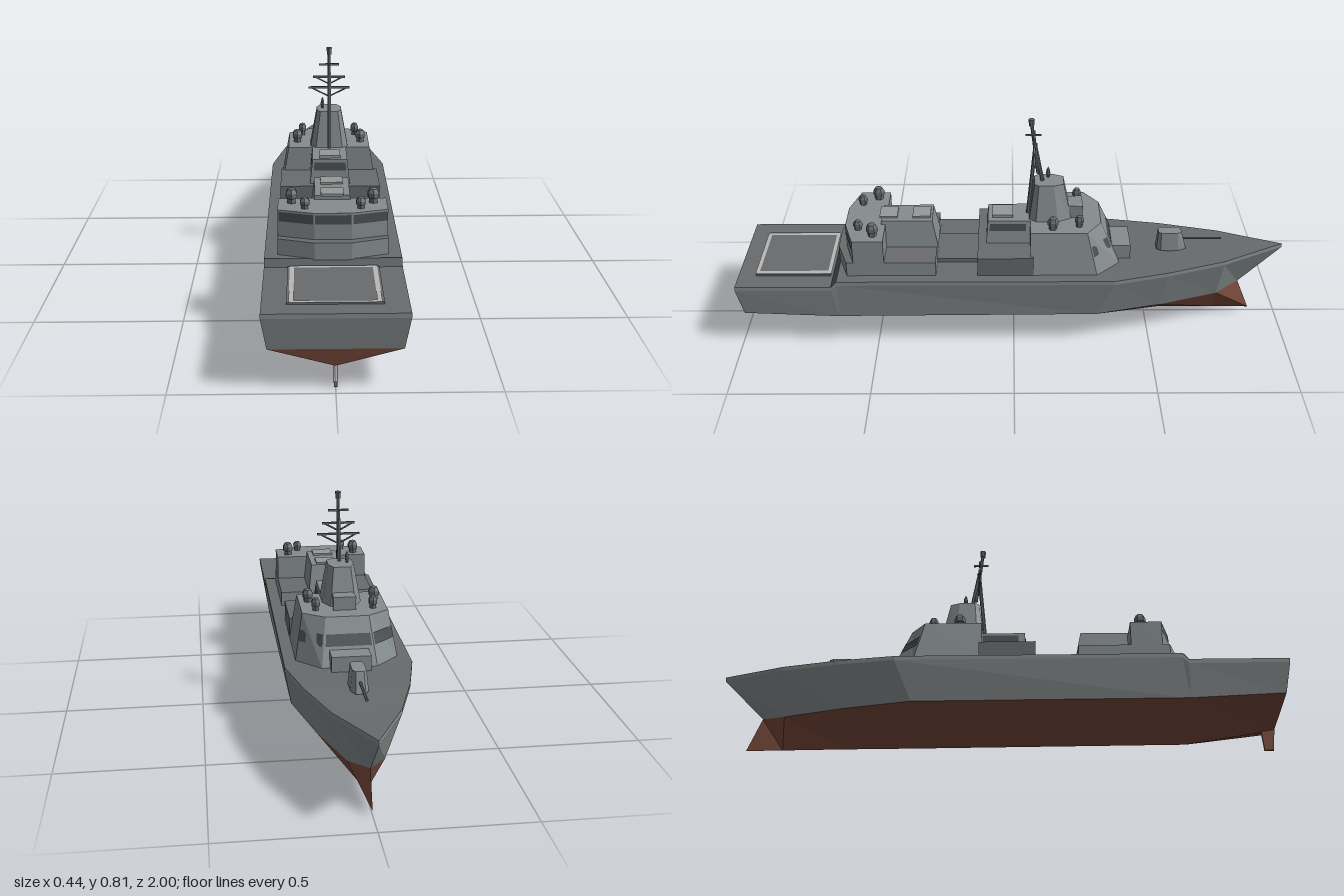
import * as THREE from 'three';

const mat = (color) => new THREE.MeshStandardMaterial({ color, flatShading: true, side: THREE.DoubleSide });
const GREY = mat(0x868d8d), DECK = mat(0x696b6d), RED = mat(0x7a4a3a), DARK = mat(0x4a4f52);
const FIT = mat(0x666b6d), LIGHT = mat(0x969a9a), MARK = mat(0xb8b8b8);

export function createModel() {
  const ship = new THREE.Group();
  ship.name = 'warship';

  const add = (name, geo, material, x = 0, y = 0, z = 0) => {
    const m = new THREE.Mesh(geo, material);
    m.name = name;
    m.position.set(x, y, z);
    ship.add(m);
    return m;
  };
  const box = (name, w, h, d, x, y, z, material) =>
    add(name, new THREE.BoxGeometry(w, h, d), material, x, y + h / 2, z);

  // Surface through rows of points
  const skin = (name, rows, material) => {
    const out = [];
    for (let k = 0; k + 1 < rows.length; k++)
      for (let i = 0; i + 1 < rows[k].length; i++) {
        const a = rows[k][i], b = rows[k][i + 1], c = rows[k + 1][i + 1], d = rows[k + 1][i];
        out.push(...a, ...b, ...c, ...a, ...c, ...d);
      }
    const g = new THREE.BufferGeometry();
    g.setAttribute('position', new THREE.Float32BufferAttribute(out, 3));
    g.computeVertexNormals();
    return add(name, g, material);
  };

  // Mirrored outline from the +x half, listed from aft to fore
  const outline = (half, y) => [
    ...half.map(([x, z]) => [x, y, z]),
    ...half.slice().reverse().map(([x, z]) => [-x, y, z]),
  ];

  // House with sloping walls; returns a function that lays a window on wall i
  const house = (name, lower, upper, y0, y1, roof = GREY) => {
    const b = outline(lower, y0), t = outline(upper, y1), n = b.length;
    skin(name, [[...t, t[0]], [...b, b[0]]], GREY);
    skin(name + 'Roof', [t.slice(n / 2).reverse(), t.slice(0, n / 2)], roof);
    return (i, u0, u1, v0, v1) => {
      const j = (i + 1) % n;
      const [p, q, r, s] = [b[i], b[j], t[j], t[i]].map((c) => new THREE.Vector3(...c));
      const normal = q.clone().sub(p).cross(s.clone().sub(p)).normalize().multiplyScalar(0.002);
      const at = (u, v) => p.clone().lerp(q, u).lerp(s.clone().lerp(r, u), v).add(normal).toArray();
      skin(name + 'Window', [[at(u0, v1), at(u0, v0)], [at(u1, v1), at(u1, v0)]], DARK);
    };
  };

  const rod = (name, a, b, r, material = FIT) => {
    const p = new THREE.Vector3(...a), q = new THREE.Vector3(...b);
    const m = add(name, new THREE.CylinderGeometry(r, r, p.distanceTo(q), 6), material);
    m.position.copy(p).lerp(q, 0.5);
    m.quaternion.setFromUnitVectors(new THREE.Vector3(0, 1, 0), q.sub(p).normalize());
  };

  // Hull stations: deck z, y, half width; chine z, y, half width; keel z, y
  const stations = [
    [1, 0.257, 0.22, 0.98, 0.135, 0.203, 0.97, 0.075],
    [0.655, 0.257, 0.22, 0.655, 0.12, 0.203, 0.655, 0.025],
    [0.635, 0.279, 0.22, 0.635, 0.12, 0.203, 0.635, 0.025],
    [-0.36, 0.279, 0.22, -0.3, 0.12, 0.195, -0.3, 0.019],
    [-0.56, 0.285, 0.175, -0.54, 0.12, 0.135, -0.56, 0.018],
    [-0.77, 0.291, 0.11, -0.76, 0.12, 0.06, -0.77, 0.016],
    [-1, 0.3, 0, -0.85, 0.135, 0, -0.9, 0.015],
  ];
  const side = (s) => stations.map(([dz, dy, dw, cz, cy, cw]) =>
    [[s * dw, dy, dz], [s * dw, dy - 0.015, dz], [s * cw, cy, cz]]);
  const left = side(1), right = side(-1);
  const keel = stations.map((p) => [0, p[7], p[6]]);
  skin('hullLeft', left, GREY);
  skin('hullRight', right.map((r) => r.slice().reverse()), GREY);
  skin('transom', [right[0], left[0]], GREY);
  skin('lowerHull', stations.map((_, i) => [left[i][2], keel[i], right[i][2]]), RED);
  skin('lowerTransom', [[right[0][2], keel[0]], [left[0][2], keel[0]]], RED);
  skin('deck', stations.map((_, i) => [right[i][0], left[i][0]]), DECK);
  skin('deckStep', [1, 2].map((i) => [right[i][0], left[i][0]].map(([x, y, z]) => [x, y + 0.001, z + 0.001])), DARK);
  skin('rudder', [[-0.005, 0.09], [0.005, 0.09], [0.005, 0], [-0.005, 0], [-0.005, 0.09]].map(([x, y]) =>
    [[x, y, y ? 0.972 : 0.962], [x, y, y ? 0.922 : 0.93]]), RED);
  box('rudderTip', 0.01, 0.002, 0.032, 0, 0, 0.946, RED);

  // Landing pad with painted border
  box('landingPad', 0.29, 0.008, 0.27, 0, 0.256, 0.8, DECK);
  const square = (path, r) => path.moveTo(-r, -r).lineTo(r, -r).lineTo(r, r).lineTo(-r, r).lineTo(-r, -r);
  const border = square(new THREE.Shape(), 0.138);
  border.holes.push(square(new THREE.Path(), 0.124));
  add('padBorder', new THREE.ShapeGeometry(border), MARK, 0, 0.2655, 0.8).rotation.x = -Math.PI / 2;

  // Aft house
  const aftHalf = [[0.06, 0.64], [0.178, 0.6], [0.178, 0.28]];
  house('aftHouseBase', aftHalf, aftHalf, 0.25, 0.333, DECK);
  const aftUpper = [[0.06, 0.61], [0.177, 0.575], [0.177, 0.465]];
  const aftWin = house('aftControlRoom', aftUpper, aftUpper, 0.333, 0.422);
  aftWin(5, 0.02, 0.98, 0.58, 0.93);
  for (const i of [0, 4]) aftWin(i, 0.03, 0.97, 0.58, 0.93);
  house('aftTower', [[0.07, 0.48], [0.07, 0.275]], [[0.058, 0.48], [0.058, 0.295]], 0.333, 0.437);
  for (const z of [0.335, 0.455]) box('roofHatch', 0.075, 0.008, 0.065, 0, 0.436, z, LIGHT);
  box('midDeckhouse', 0.175, 0.016, 0.18, 0, 0.278, 0.2, DECK);

  // Forward house and bridge
  box('forwardHouseBase', 0.356, 0.072, 0.2, 0, 0.278, 0.03, DECK);
  const midWin = house('forwardAftTower', [[0.072, 0.1], [0.072, -0.07]], [[0.062, 0.093], [0.062, -0.07]], 0.35, 0.438);
  for (const i of [0, 2]) midWin(i, 0.05, 0.85, 0.55, 0.88);
  midWin(3, 0.06, 0.94, 0.55, 0.88);
  box('roofHatch', 0.075, 0.012, 0.075, 0, 0.437, 0.04, LIGHT);
  const bridgeWin = house('bridge',
    [[0.178, -0.06], [0.178, -0.3], [0.095, -0.385]],
    [[0.15, -0.06], [0.15, -0.262], [0.075, -0.315]], 0.278, 0.438);
  for (const i of [1, 2, 3]) bridgeWin(i, 0.04, 0.96, 0.42, 0.66);
  box('bridgeForeBox', 0.135, 0.056, 0.1, 0, 0.279, -0.378, GREY);

  // Mast tower
  house('mastTower',
    [[0.05, -0.055], [0.07, -0.08], [0.07, -0.16], [0.045, -0.21]],
    [[0.032, -0.075], [0.045, -0.09], [0.045, -0.145], [0.03, -0.18]], 0.43, 0.572);
  house('sensorBox', [[0.035, -0.18], [0.04, -0.25]], [[0.035, -0.18], [0.04, -0.25]], 0.437, 0.485);

  // Mast, yards and struts
  rod('mastAftLeg', [0, 0.437, -0.052], [0, 0.72, -0.078], 0.007);
  rod('mastForeLeg', [0, 0.565, -0.105], [0, 0.72, -0.075], 0.007);
  rod('topMast', [0, 0.6, -0.088], [0, 0.8, -0.063], 0.006);
  add('mastHead', new THREE.CylinderGeometry(0.011, 0.009, 0.025, 6), FIT, 0, 0.802, -0.063);
  for (const [y, w, drop] of [[0.664, 0.075, 0.035], [0.704, 0.058, 0.028], [0.75, 0.036, 0]]) {
    box('yard', w * 2, 0.007, 0.007, 0, y - 0.004, -0.074, FIT);
    if (drop) for (const s of [1, -1])
      rod('yardStrut', [s * w * 0.9, y, -0.074], [0, y - drop, -0.078], 0.003);
  }
  box('foreAftSpar', 0.006, 0.006, 0.055, 0, 0.75, -0.07, FIT);
  add('whipAntenna', new THREE.LatheGeometry(
    [[0, 0], [0.004, 0], [0.008, 0.018], [0.006, 0.032], [0, 0.045]].map((p) => new THREE.Vector2(...p)), 6),
  FIT, -0.024, 0.57, -0.125);

  // Sensor domes
  const dome = (x, y, z, r, h) => add('sensorDome', new THREE.LatheGeometry(
    [[0, 0], [r * 0.75, 0], [r * 0.75, h * 0.3], [r, h * 0.35], [r, h * 0.65], [r * 0.65, h * 0.9], [0, h]]
      .map((p) => new THREE.Vector2(...p)), 6), FIT, x, y, z);
  for (const s of [1, -1]) {
    dome(s * 0.133, 0.421, 0.505, 0.021, 0.053);
    dome(s * 0.09, 0.421, 0.56, 0.017, 0.04);
    dome(s * 0.118, 0.437, -0.14, 0.02, 0.05);
    dome(s * 0.1, 0.437, -0.235, 0.016, 0.048);
  }

  // Deck gun
  add('gunBase', new THREE.CylinderGeometry(0.03, 0.03, 0.012, 10), FIT, 0, 0.289, -0.58);
  house('gunTurret',
    [[0.018, -0.53], [0.03, -0.545], [0.03, -0.61], [0.016, -0.64]],
    [[0.014, -0.535], [0.023, -0.545], [0.023, -0.605], [0.013, -0.62]], 0.29, 0.36);
  rod('gunBarrel', [0, 0.325, -0.61], [0, 0.325, -0.77], 0.005);
  return ship;
}
